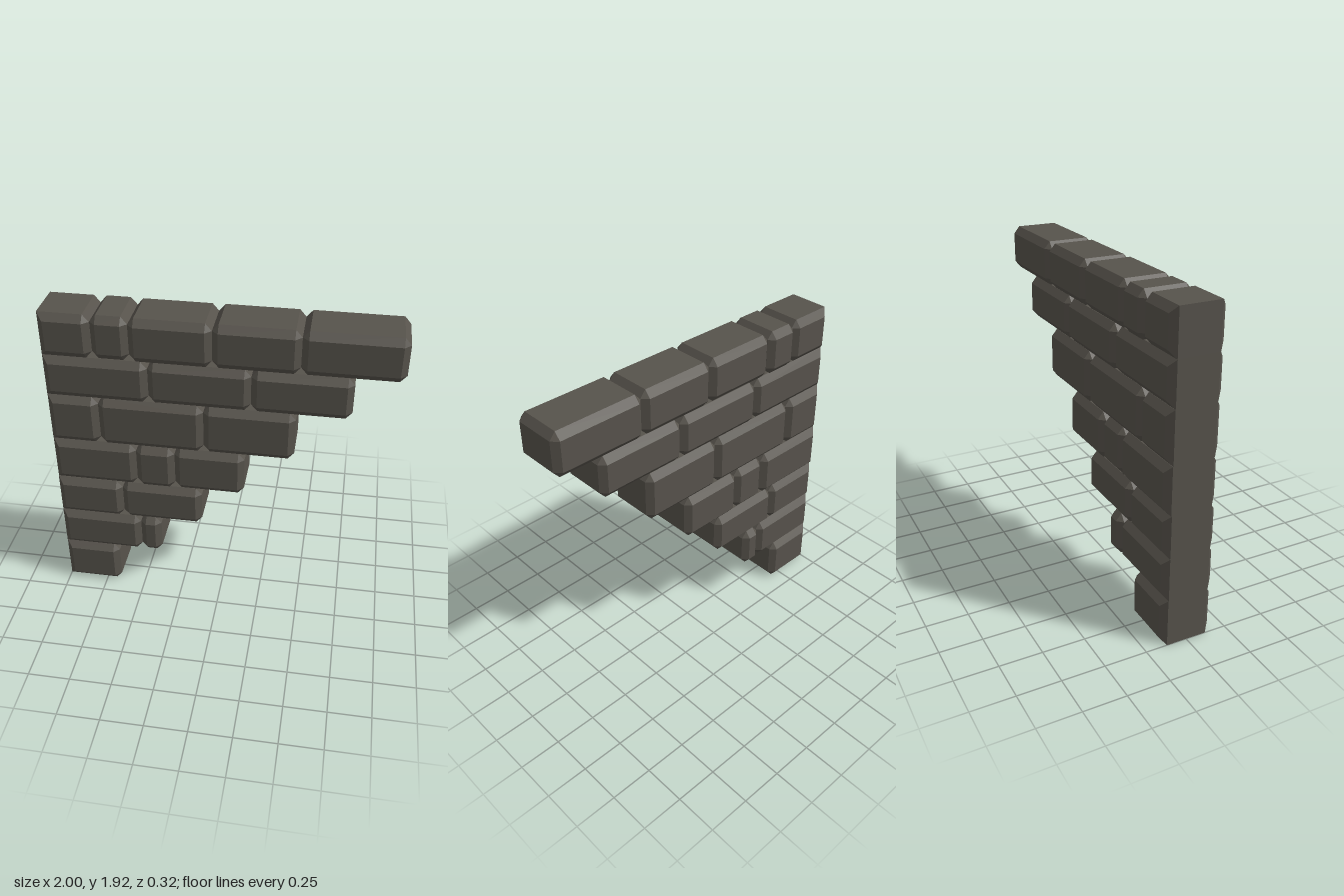
import * as THREE from 'three';
import { ConvexGeometry } from 'three/addons/geometries/ConvexGeometry.js';

const CX = 0.036, CY = 0.042, CZ = 0.035; // chamfer sizes along each axis

// Rows from bottom to top: bottom y, top y, then the joints between bricks along x
const ROWS = [
  { y: [0, 0.288], joints: [-1, -0.655] },
  { y: [0.288, 0.548], joints: [-1, -0.5, -0.37] },
  { y: [0.548, 0.806], joints: [-1, -0.6, -0.11] },
  { y: [0.806, 1.09], joints: [-1, -0.5, -0.27, 0.145] },
  { y: [1.09, 1.397], joints: [-1, -0.705, -0.095, 0.43] },
  { y: [1.397, 1.654], joints: [-1, -0.405, 0.175, 0.735] },
  { y: [1.654, 1.917], joints: [-1, -0.71, -0.5, -0.04, 0.44, 1] },
];

// Chamfered block; a flush end keeps its top and bottom edges square at the low x side
function brickGeometry(x0, x1, y0, y1, z0, z1, flushEnd) {
  const points = [];
  for (const [x, sx] of [[x0, 1], [x1, -1]])
    for (const [y, sy] of [[y0, 1], [y1, -1]])
      for (const [z, sz] of [[z0, 1], [z1, -1]]) {
        const xi = x + sx * CX, yi = y + sy * CY, zi = z + sz * CZ;
        points.push(new THREE.Vector3(xi, yi, z));
        if (flushEnd && sx === 1) points.push(new THREE.Vector3(x, y, zi));
        else points.push(new THREE.Vector3(x, yi, zi), new THREE.Vector3(xi, y, zi));
      }
  return new ConvexGeometry(points);
}

export function createModel() {
  const model = new THREE.Group();
  model.name = 'steppedBrickWall';
  const stone = new THREE.MeshStandardMaterial({ color: 0x57534c });
  stone.name = 'darkStone';

  let count = 0;
  ROWS.forEach(({ y, joints }, r) => {
    const row = new THREE.Group();
    row.name = `brickRow${r + 1}`;
    for (let i = 0; i < joints.length - 1; i++) {
      // Slight unevenness in depth from brick to brick
      const wobble = 0.003 * Math.sin(count++ * 2.4);
      const geometry = brickGeometry(joints[i], joints[i + 1], y[0], y[1],
        -0.157 + wobble, 0.156 + wobble, i === 0);
      const brick = new THREE.Mesh(geometry, stone);
      brick.name = `brick${i + 1}`;
      row.add(brick);
    }
    model.add(row);
  });
  return model;
}
